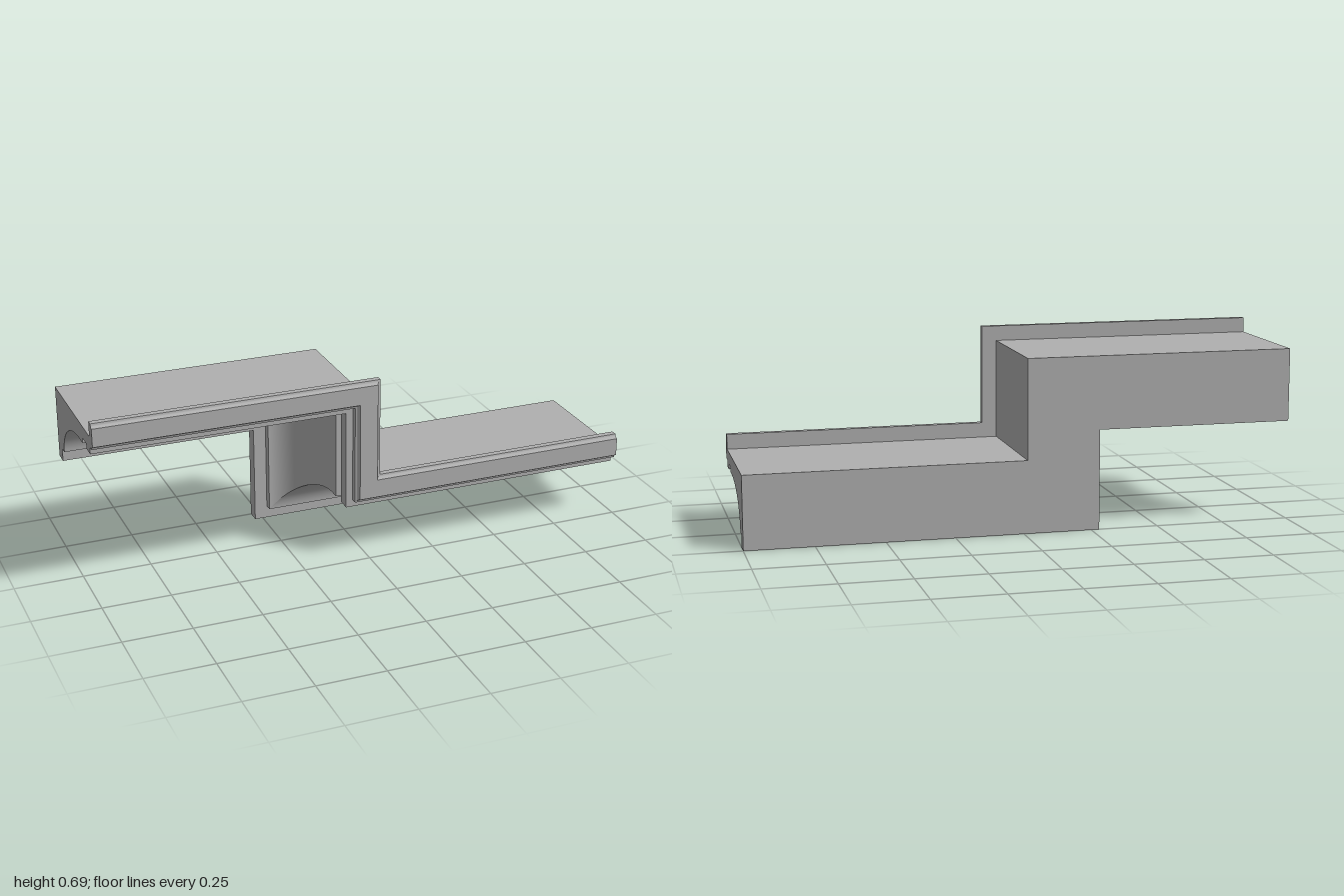
import * as THREE from 'three';
import { toCreasedNormals } from 'three/addons/utils/BufferGeometryUtils.js';

const STEP = 0.366;      // height between the two runs
const CORNER = -0.28;    // x of the riser's outer face

// Cross-section as (z, offset) points, counter-clockwise from the back bottom edge.
function mouldingProfile() {
  const pts = [];
  const add = (z, v) => pts.push(new THREE.Vector2(z, v));
  const arc = (cz, cv, rz, rv, from, to, n) => {
    for (let i = 0; i <= n; i++) {
      const a = from + (to - from) * i / n;
      add(cz + rz * Math.cos(a), cv + rv * Math.sin(a));
    }
  };
  add(-0.252, 0);
  add(-0.202, 0);
  add(-0.202, 0.047);
  arc(0.08, 0.047, 0.252, 0.155, Math.PI, Math.PI / 2, 24);    // large cove
  add(0.116, 0.202);
  add(0.116, 0.222);                                           // drip groove
  add(0.167, 0.222);
  add(0.167, 0.202);
  add(0.215, 0.202);
  add(0.215, 0.227);
  arc(0.252, 0.227, 0.014, 0.014, Math.PI, Math.PI / 2, 8);    // lower lip cove
  arc(0.252, 0.322, 0.014, 0.014, -Math.PI / 2, -Math.PI, 8);  // upper lip cove
  add(0.215, 0.322);
  add(0.215, 0.267);
  add(-0.252, 0.267);
  return pts;
}

// Mitred stations along the stepped path; each places a profile point in space.
const stations = [
  p => [-1, STEP + p.y, p.x],
  p => [CORNER + p.y, STEP + p.y, p.x],
  p => [CORNER + p.y, p.y, p.x],
  p => [1, p.y, p.x],
];

function toMesh(name, positions, material) {
  const geo = new THREE.BufferGeometry();
  geo.setAttribute('position', new THREE.Float32BufferAttribute(positions, 3));
  const mesh = new THREE.Mesh(toCreasedNormals(geo, 0.5), material);
  mesh.name = name;
  return mesh;
}

// Skin between two neighbouring stations
function runSkin(profile, start, end) {
  const out = [];
  profile.forEach((p, i) => {
    const q = profile[(i + 1) % profile.length];
    out.push(...start(p), ...end(p), ...end(q), ...start(p), ...end(q), ...start(q));
  });
  return out;
}

// Flat end face; flip turns it towards +x
function endFace(profile, station, flip) {
  const out = [];
  for (const [a, b, c] of THREE.ShapeUtils.triangulateShape(profile, [])) {
    const order = flip ? [a, c, b] : [a, b, c];
    order.forEach(i => out.push(...station(profile[i])));
  }
  return out;
}

export function createModel() {
  const group = new THREE.Group();
  group.name = 'steppedCornice';
  const grey = new THREE.MeshStandardMaterial({ color: 0xb0b0b0 });
  grey.name = 'plaster grey';

  const profile = mouldingProfile();
  ['upperRun', 'riser', 'lowerRun'].forEach((name, i) => {
    group.add(toMesh(name, runSkin(profile, stations[i], stations[i + 1]), grey));
  });
  group.add(toMesh('upperEndFace', endFace(profile, stations[0], false), grey));
  group.add(toMesh('lowerEndFace', endFace(profile, stations[3], true), grey));
  return group;
}
